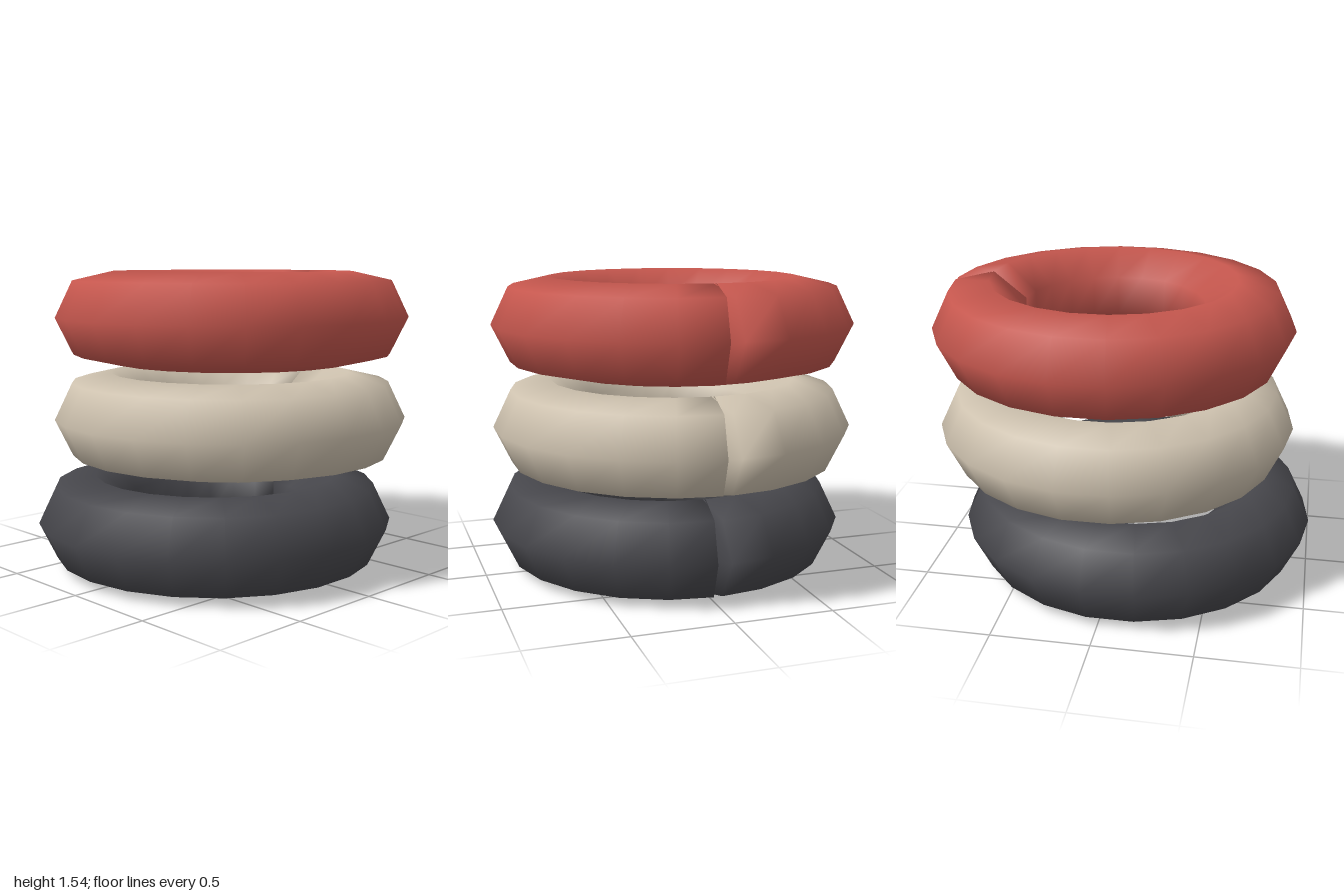
import * as THREE from 'three';

const STEPS = 22;      // segments around the ring
const SIDES = 7;       // sides of the tube
const RING_R = 0.69;
const TUBE_R = 0.245;

// Split ring: a tube swept round a circle, whose two end sections are square
// to the end chords, leaving a wedge-shaped slit at +x
function splitRingGeometry() {
  const positions = [];
  const index = [];
  const step = (Math.PI * 2) / STEPS;

  for (let i = 0; i <= STEPS; i++) {
    const t = i * step;
    let facing = t;
    if (i === 0) facing += step / 2;
    if (i === STEPS) facing -= step / 2;
    for (let j = 0; j < SIDES; j++) {
      const a = (j / SIDES) * Math.PI * 2;
      const out = TUBE_R * Math.cos(a);
      positions.push(
        RING_R * Math.cos(t) + out * Math.cos(facing),
        TUBE_R * Math.sin(a),
        RING_R * Math.sin(t) + out * Math.sin(facing)
      );
    }
  }

  // tube wall
  for (let i = 0; i < STEPS; i++) {
    for (let j = 0; j < SIDES; j++) {
      const k = (j + 1) % SIDES;
      const a = i * SIDES + j, b = i * SIDES + k;
      const c = a + SIDES, d = b + SIDES;
      index.push(a, b, c, b, d, c);
    }
  }

  // end caps, sharing the rim vertices so the ends shade softly
  const last = STEPS * SIDES;
  for (let j = 1; j < SIDES - 1; j++) {
    index.push(0, j + 1, j);
    index.push(last, last + j, last + j + 1);
  }

  const geometry = new THREE.BufferGeometry();
  geometry.setAttribute('position', new THREE.Float32BufferAttribute(positions, 3));
  geometry.setIndex(index);
  geometry.computeVertexNormals();
  return geometry;
}

export function createModel() {
  const model = new THREE.Group();
  model.name = 'ringStack';
  const geometry = splitRingGeometry();

  // three stacked rings, slightly out of line
  const rings = [
    { name: 'bottomRing', colorName: 'charcoal', color: 0x47474c, x: -0.064, y: 0.245 },
    { name: 'middleRing', colorName: 'cream', color: 0xcdc1ae, x: 0.05, y: 0.778 },
    { name: 'topRing', colorName: 'brick red', color: 0xc4564d, x: 0.064, y: 1.31 },
  ];
  for (const { name, colorName, color, x, y } of rings) {
    const material = new THREE.MeshStandardMaterial({ color });
    material.name = colorName;
    const ring = new THREE.Mesh(geometry, material);
    ring.name = name;
    ring.position.set(x, y, 0);
    model.add(ring);
  }
  return model;
}
